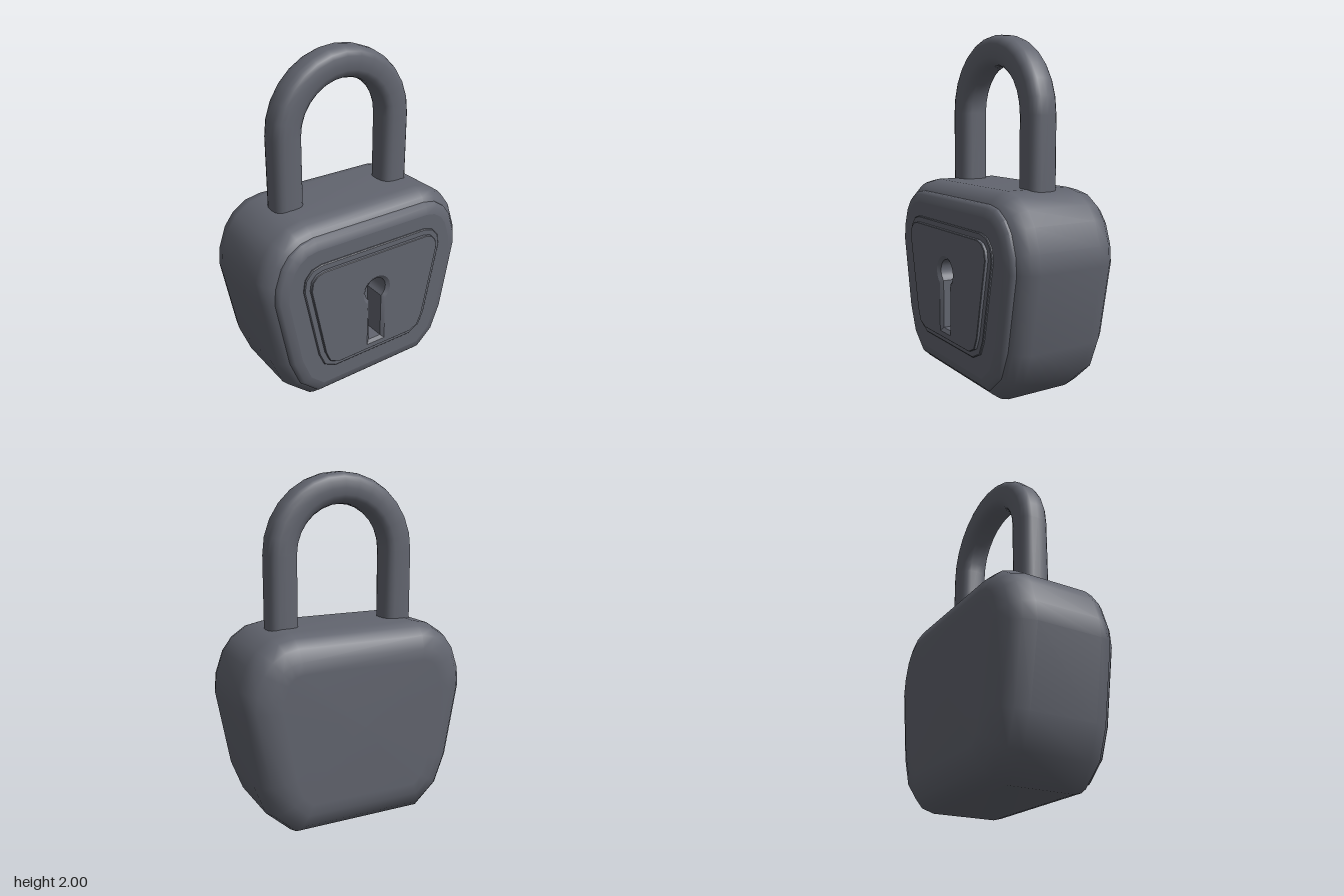
import * as THREE from 'three';
import { toCreasedNormals } from 'three/addons/utils/BufferGeometryUtils.js';

const material = new THREE.MeshStandardMaterial({ color: 0x62656f });

// Mirrors a right-hand half outline (listed bottom to top) into a closed counter-clockwise loop
function mirror(half) {
  const left = half.filter(([x]) => x > 1e-6).reverse().map(([x, y]) => [-x, y]);
  return [...half, ...left];
}

// Moves a closed loop inward by a fixed distance, with mitred corners
function inset(loop, d) {
  const n = loop.length;
  const normal = (a, b) => {
    const dx = b[0] - a[0], dy = b[1] - a[1], l = Math.hypot(dx, dy);
    return [-dy / l, dx / l];
  };
  return loop.map((p, i) => {
    const a = normal(loop[(i + n - 1) % n], p);
    const b = normal(p, loop[(i + 1) % n]);
    const k = d / (1 + a[0] * b[0] + a[1] * b[1]);
    return [p[0] + (a[0] + b[0]) * k, p[1] + (a[1] + b[1]) * k];
  });
}

const atZ = (loop, z) => loop.map(([x, y]) => [x, y, z]);

// Skins a series of equal-length closed rings
function loft(rings, crease = 0) {
  const n = rings[0].length, index = [];
  for (let r = 0; r < rings.length - 1; r++) {
    for (let i = 0; i < n; i++) {
      const j = (i + 1) % n;
      const a = r * n + i, b = r * n + j, c = a + n, d = b + n;
      index.push(a, b, d, a, d, c);
    }
  }
  const geo = new THREE.BufferGeometry();
  geo.setAttribute('position', new THREE.Float32BufferAttribute(rings.flat(2), 3));
  geo.setIndex(index);
  geo.computeVertexNormals();
  return crease ? toCreasedNormals(geo, crease) : geo;
}

// Flat front-facing sheet with an opening
function sheet(outer, hole, z) {
  const points = (loop) => loop.map(([x, y]) => new THREE.Vector2(x, y));
  const shape = new THREE.Shape(points(outer));
  shape.holes.push(new THREE.Path(points(hole)));
  return new THREE.ShapeGeometry(shape).translate(0, 0, z);
}

// Keyhole outline: round head over a straight slot
function keyhole(r, w, bottom) {
  const half = [[w, bottom]];
  const start = -Math.acos(w / r), steps = 10;
  for (let i = 0; i <= steps; i++) {
    const t = start + (Math.PI / 2 - start) * i / steps;
    half.push([i === steps ? 0 : r * Math.cos(t), 0.655 + r * Math.sin(t)]);
  }
  return mirror(half);
}

export function createModel() {
  const model = new THREE.Group();
  model.name = 'padlock';
  const add = (name, geo) => {
    const mesh = new THREE.Mesh(geo, material);
    mesh.name = name;
    model.add(mesh);
  };

  const bodyLoop = mirror([
    [0.4, 0], [0.545, 0.13], [0.615, 0.31], [0.695, 0.75], [0.685, 0.86],
    [0.64, 0.99], [0.58, 1.07], [0.49, 1.13], [0.39, 1.15],
  ]);
  const panelLoop = mirror([
    [0.275, 0.23], [0.35, 0.268], [0.385, 0.35], [0.475, 0.8],
    [0.463, 0.87], [0.42, 0.918], [0.36, 0.935],
  ]);
  const rings = (loop, profile) => profile.map(([d, z]) => atZ(inset(loop, d), z));

  // Rounded body, closed at the back by a fan to its centre
  const backCentre = bodyLoop.map(() => [0, 0.6, -0.362]);
  add('body', loft([backCentre, ...rings(bodyLoop, [
    [0.2, -0.36], [0.135, -0.353], [0.065, -0.325], [0.02, -0.275], [0, -0.2],
    [0, 0.19], [0.013, 0.24], [0.04, 0.278], [0.065, 0.295],
  ])]));

  // Raised front collar and its flat face
  add('frontCollar', loft(rings(bodyLoop, [
    [0.064, 0.29], [0.067, 0.308], [0.085, 0.325], [0.13, 0.335],
  ]), 0.7));
  add('frontFace', sheet(inset(bodyLoop, 0.13), panelLoop, 0.335));

  // Two-step lock panel
  add('panelSteps', loft(rings(panelLoop, [
    [0, 0.335], [0, 0.342], [0.005, 0.346], [0.035, 0.346], [0.035, 0.362], [0.038, 0.365],
  ]), 0.6));
  const rim = keyhole(0.095, 0.063, 0.298);
  const slot = keyhole(0.073, 0.043, 0.318);
  add('panelFace', sheet(inset(panelLoop, 0.038), rim, 0.365));

  // Keyhole: sloping rim, deep walls and floor
  add('keyhole', loft([atZ(rim, 0.365), atZ(slot, 0.35), atZ(slot, 0.22)], 0.6));
  const floor = new THREE.Shape(slot.map(([x, y]) => new THREE.Vector2(x, y)));
  add('keyholeFloor', new THREE.ShapeGeometry(floor).translate(0, 0, 0.22));

  // Shackle: rounded-square section swept up one leg, over the arch and down the other
  const reach = 0.363, springY = 1.55, rise = 0.36, radius = 0.09;
  const stations = [[reach, 1.08, 0]];
  for (let i = 0; i <= 14; i++) {
    const t = Math.PI * i / 14;
    stations.push([reach * Math.cos(t), springY + rise * Math.sin(t), t]);
  }
  stations.push([-reach, 1.08, Math.PI]);
  const soften = (v) => Math.sign(v) * Math.pow(Math.abs(v), 0.72);
  const shackleRings = stations.map(([x, y, t]) => {
    const ring = [];
    for (let i = 0; i < 20; i++) {
      const a = -Math.PI * 2 * i / 20;
      const out = radius * soften(Math.cos(a)), side = radius * soften(Math.sin(a));
      ring.push([x + out * Math.cos(t), y + out * Math.sin(t), -0.02 + side]);
    }
    return ring;
  });
  add('shackle', loft(shackleRings));

  return model;
}
